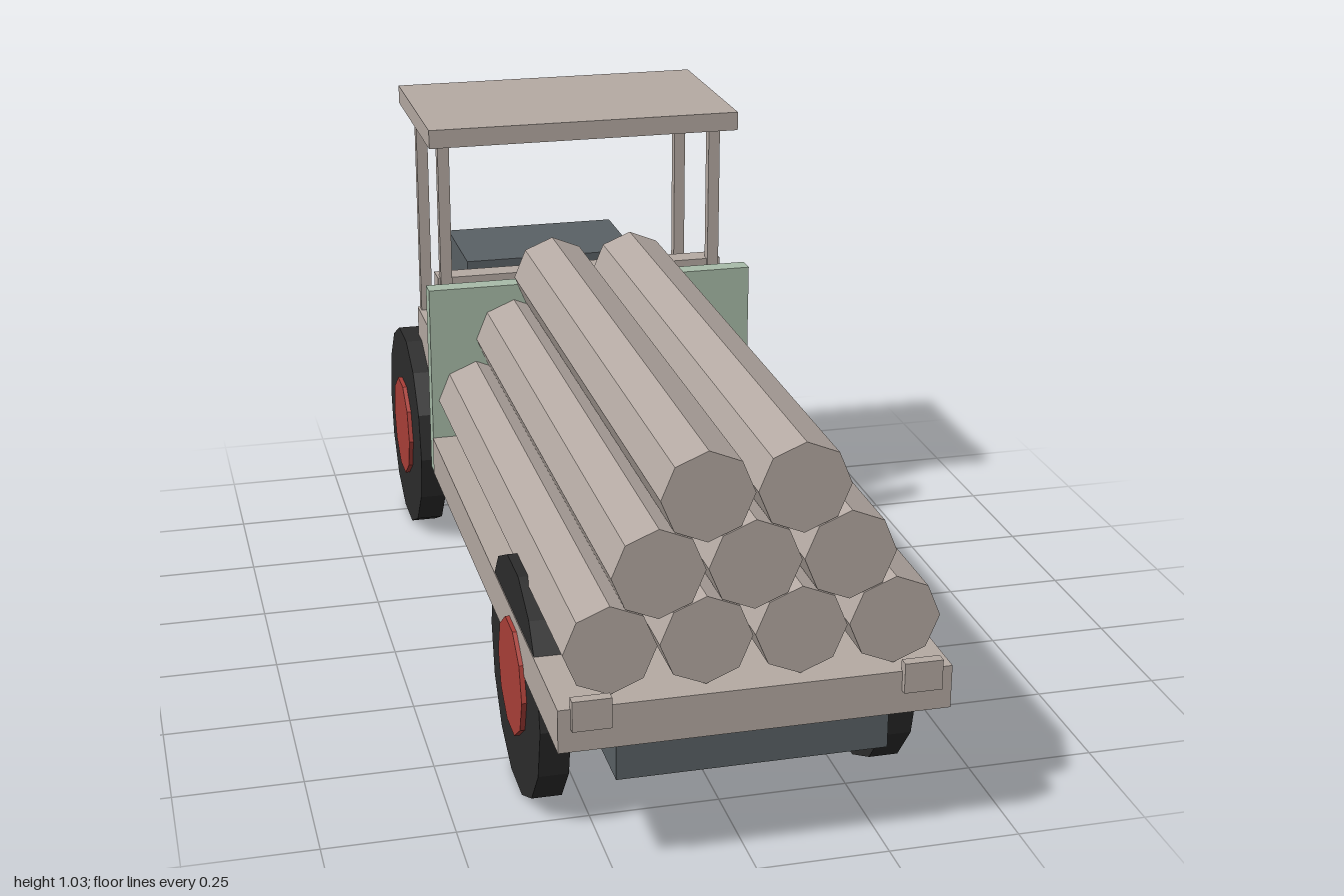
import * as THREE from 'three';

export function createModel() {
  const model = new THREE.Group();
  model.name = 'logTruck';

  const mat = (name, color) => {
    const m = new THREE.MeshStandardMaterial({ color });
    m.name = name;
    return m;
  };
  const wood = mat('wood', 0xb5aaa3);
  const green = mat('paleGreen', 0xa8bca9);
  const steel = mat('darkSteel', 0x5a6165);
  const rubber = mat('rubber', 0x2c2c2c);
  const red = mat('hubRed', 0xaa3f38);

  const add = (name, geo, material) => {
    const mesh = new THREE.Mesh(geo, material);
    mesh.name = name;
    model.add(mesh);
    return mesh;
  };
  // Box given by its extents on each axis
  const box = (name, material, x0, x1, y0, y1, z0, z1) => {
    const mesh = add(name, new THREE.BoxGeometry(x1 - x0, y1 - y0, z1 - z0), material);
    mesh.position.set((x0 + x1) / 2, (y0 + y1) / 2, (z0 + z1) / 2);
    return mesh;
  };
  // Faceted cylinder without smoothing
  const prism = (radius, length, sides) =>
    new THREE.CylinderGeometry(radius, radius, length, sides).toNonIndexed();
  const facet = (geo) => {
    geo.computeVertexNormals();
    return geo;
  };

  // Chassis and engine; the truck drives towards -z
  box('chassis', steel, -0.25, 0.25, 0.195, 0.274, -0.95, 0.965);
  box('hood', steel, -0.2, 0.2, 0.27, 0.62, -0.983, -0.725);
  box('grille', wood, -0.165, 0.165, 0.3, 0.57, -0.99, -0.982);

  // Cab
  box('cabBase', wood, -0.32, 0.32, 0.265, 0.52, -0.722, -0.395);
  box('seatBack', wood, -0.32, 0.32, 0.515, 0.688, -0.46, -0.41);
  box('roof', wood, -0.34, 0.34, 0.995, 1.035, -0.772, -0.352);

  // Cargo bed
  box('bed', wood, -0.358, 0.358, 0.273, 0.356, -0.306, 0.987);
  box('headboard', green, -0.357, 0.357, 0.274, 0.695, -0.345, -0.305);

  for (const s of [-1, 1]) {
    // Roof posts
    for (const z of [-0.415, -0.708]) {
      box('roofPost', wood, s * 0.302 - 0.0125, s * 0.302 + 0.0125, 0.515, 1.0, z - 0.0115, z + 0.0115);
    }
    // Lamps
    box('headlamp', wood, s * 0.2 - 0.03, s * 0.2 + 0.03, 0.445, 0.492, -1.0, -0.975);
    box('tailLamp', wood, s * 0.3 - 0.0355, s * 0.3 + 0.0355, 0.318, 0.376, 0.98, 1.0);
    // Wheels
    for (const z of [-0.728, 0.595]) {
      const tyre = add('tyre', facet(prism(0.232, 0.057, 14).rotateZ(Math.PI / 2)), rubber);
      tyre.position.set(s * 0.328, 0.2262, z);
      const hub = add('hub', facet(prism(0.1135, 0.03, 10).rotateZ(Math.PI / 2)), red);
      hub.position.set(s * 0.351, 0.2262, z);
    }
  }

  // Stacked logs
  [4, 3, 2].forEach((count, row) => {
    for (let i = 0; i < count; i++) {
      const log = add('log', facet(prism(0.084, 1.26, 8).rotateX(Math.PI / 2)), wood);
      log.position.set((i - (count - 1) / 2) * 0.172, 0.4425 + row * 0.1347, 0.325);
    }
  });

  return model;
}
